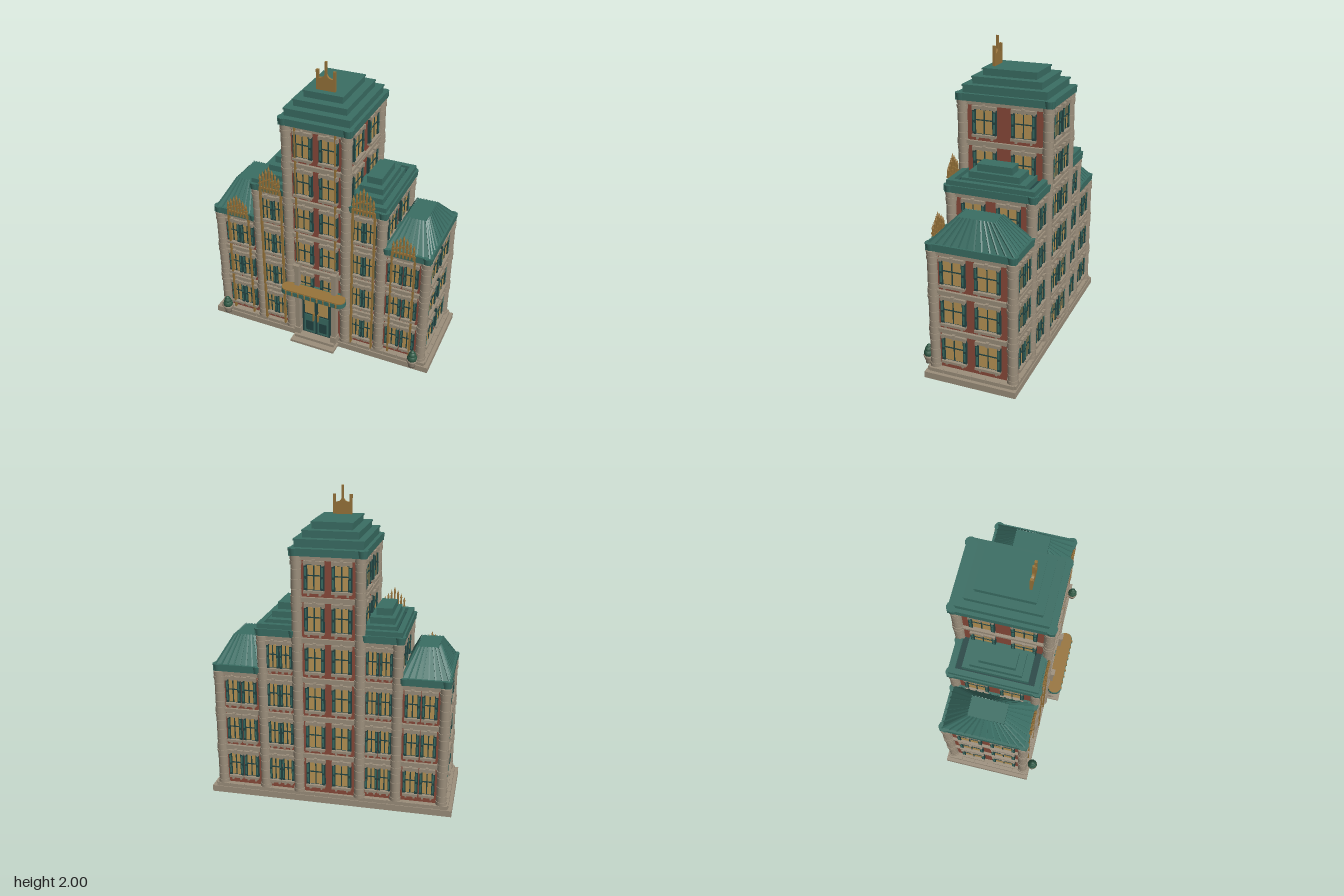
import * as THREE from 'three';

const paint = (color) => new THREE.MeshStandardMaterial({ color });
const STONE = paint(0x9c8f7c), BRICK = paint(0x8a4a3a), TEAL = paint(0x3a6e64), DARK = paint(0x234544);
const GLASS = paint(0xb99556), GOLD = paint(0x98743a), LEAF = paint(0x2f5a45);
const UNIT = new THREE.BoxGeometry(1, 1, 1);
const FLOOR = 0.26, BASE = 0.065, CZ = -0.05;

function add(parent, name, geo, mat, x = 0, y = 0, z = 0) {
  const m = new THREE.Mesh(geo, mat);
  m.name = name;
  m.position.set(x, y, z);
  parent.add(m);
  return m;
}
function box(parent, name, mat, w, h, d, x, y, z) {
  const m = add(parent, name, UNIT, mat, x, y, z);
  m.scale.set(w, h, d);
  return m;
}
// Box given by its limits
const span = (p, name, mat, x0, x1, y0, y1, z0, z1) =>
  box(p, name, mat, Math.abs(x1 - x0), y1 - y0, z1 - z0, (x0 + x1) / 2, (y0 + y1) / 2, (z0 + z1) / 2);

// Shuttered sash window facing +z, centred on its glass
function sashWindow(parent, x, y, z, turn, w, shutter) {
  const g = new THREE.Group(), h = 0.15, all = w + 2 * shutter;
  g.name = 'window';
  g.position.set(x, y, z);
  g.rotation.y = turn;
  parent.add(g);
  box(g, 'windowFrame', DARK, w + 0.012, h + 0.014, 0.012, 0, 0, 0.003);
  box(g, 'glass', GLASS, w, h, 0.012, 0, 0, 0.005);
  box(g, 'mullion', DARK, 0.007, h, 0.01, 0, 0, 0.01);
  box(g, 'crossbar', DARK, w, 0.007, 0.01, 0, 0.012, 0.01);
  for (const s of [-1, 1]) {
    box(g, 'shutter', DARK, shutter, h + 0.014, 0.02, s * (w + shutter) / 2, 0, 0.008);
    for (const v of [-0.036, 0.036])
      box(g, 'shutterPanel', TEAL, shutter * 0.5, 0.055, 0.005, s * (w + shutter) / 2, v, 0.018);
    box(g, 'sillBracket', STONE, 0.012, 0.02, 0.018, s * w * 0.45, -0.103, 0.01);
    box(g, 'lintelEnd', STONE, 0.014, 0.028, 0.03, s * all * 0.45, 0.088, 0.012);
  }
  box(g, 'sill', STONE, all, 0.016, 0.034, 0, -0.087, 0.014);
  box(g, 'lintel', STONE, all, 0.02, 0.024, 0, 0.09, 0.011);
  box(g, 'keystone', STONE, 0.018, 0.032, 0.034, 0, 0.094, 0.013);
}

// Round corner pier with drum joints, and a capital at each floor
const DRUM = new THREE.CylinderGeometry(0.033, 0.033, 0.06, 14);
const RING = new THREE.CylinderGeometry(0.037, 0.037, 0.022, 14);
function pier(parent, x, z, floors) {
  for (let f = 0; f < floors; f++) {
    const y = BASE + f * FLOOR;
    for (let i = 0; i < 4; i++) add(parent, 'pierDrum', DRUM, STONE, x, y + 0.032 + i * 0.063, z);
    box(parent, 'pierCore', STONE, 0.044, FLOOR, 0.044, x, y + FLOOR / 2, z);
    for (const v of [0.012, 0.225, 0.259]) add(parent, 'pierRing', RING, STONE, x, y + v, z);
  }
}

// Brick block with belt courses
function block(parent, name, x0, x1, z0, z1, floors) {
  const top = BASE + floors * FLOOR;
  span(parent, name + 'Wall', BRICK, x0, x1, 0.04, top, z0, z1);
  for (let f = 1; f <= floors; f++) {
    const y = BASE + f * FLOOR, lo = Math.min(x0, x1), hi = Math.max(x0, x1);
    span(parent, 'beltCourse', STONE, lo - 0.018, hi + 0.018, y - 0.004, y + 0.016, z0 - 0.018, z1 + 0.018);
    span(parent, 'beltMoulding', STONE, lo - 0.01, hi + 0.01, y - 0.018, y - 0.004, z0 - 0.01, z1 + 0.01);
  }
}

// Eaves with a round knob at each corner
const KNOB = new THREE.CylinderGeometry(0.036, 0.03, 0.045, 12);
function eaves(parent, x0, x1, z0, z1, y) {
  span(parent, 'eaves', TEAL, x0, x1, y, y + 0.045, z0, z1);
  for (const x of [x0, x1]) for (const z of [z0, z1])
    add(parent, 'eavesKnob', KNOB, TEAL, x + (x === Math.min(x0, x1) ? 0.026 : -0.026), y + 0.022, z + (z === z0 ? 0.026 : -0.026));
}

function bar(parent, name, mat, a, b, t) {
  const m = box(parent, name, mat, t, t, a.distanceTo(b), 0, 0, 0);
  m.position.copy(a).add(b).multiplyScalar(0.5);
  m.lookAt(b);
}

// Sloped roof with a flat top and fanned seams; limits are [x0, x1, z0, z1]
function mansard(parent, lo, hi, y0, y1) {
  const geo = new THREE.BoxGeometry(1, 1, 1), p = geo.attributes.position;
  for (let i = 0; i < p.count; i++) {
    const up = p.getY(i) > 0, r = up ? hi : lo;
    p.setXYZ(i, p.getX(i) < 0 ? r[0] : r[1], up ? y1 : y0, p.getZ(i) < 0 ? r[2] : r[3]);
  }
  geo.computeVertexNormals();
  add(parent, 'mansardRoof', geo, TEAL);
  const at = (r, u, v, y) => new THREE.Vector3(r[0] + (r[1] - r[0]) * u, y, r[2] + (r[3] - r[2]) * v);
  const seam = (u, v) => bar(parent, 'roofSeam', TEAL, at(lo, u, v, y0), at(hi, u, v, y1), 0.009);
  for (const e of [0, 1]) {
    for (let i = 0; i <= 7; i++) seam(i / 7, e);
    for (let i = 1; i < 11; i++) seam(e, i / 11);
  }
}

// Gilded fan of spikes, taller in the middle, on two long wall strips
const SPIKE = new THREE.ConeGeometry(0.009, 0.03, 6);
function crest(parent, cx, half, y, z, height) {
  for (let i = -3; i <= 3; i++) {
    const h = height * (1 - 0.13 * Math.abs(i)), x = cx + i * half / 3.4;
    box(parent, 'crestRod', GOLD, 0.01, h, 0.012, x, y + h / 2, z);
    add(parent, 'crestSpike', SPIKE, GOLD, x, y + h + 0.012, z);
    box(parent, 'crestCollar', GOLD, 0.016, 0.012, 0.018, x, y + h * 0.6, z);
  }
  box(parent, 'crestRail', GOLD, half * 2, 0.012, 0.014, cx, y + 0.03, z);
  for (const s of [-1, 1]) span(parent, 'giltStrip', GOLD, cx + s * half - 0.005, cx + s * half + 0.005, 0.07, y + 0.03, z - 0.02, z);
}

function planter(parent, x, z) {
  const pts = [[0, 0.045], [0.024, 0.045], [0.022, 0.055], [0.034, 0.085], [0.036, 0.1], [0.028, 0.1], [0, 0.098]];
  add(parent, 'planterPot', new THREE.LatheGeometry(pts.map((q) => new THREE.Vector2(...q)), 12), STONE, x, 0, z);
  [[0.034, 0.115], [0.026, 0.14], [0.016, 0.16]].forEach(([r, y]) =>
    add(parent, 'planterBush', new THREE.IcosahedronGeometry(r, 1), LEAF, x, y, z));
}

function entrance(parent) {
  const g = new THREE.Group();
  g.name = 'entrance';
  parent.add(g);
  span(g, 'lowerStep', STONE, -0.16, 0.16, 0.015, 0.032, 0.2, 0.35);
  span(g, 'upperStep', STONE, -0.145, 0.145, 0.032, 0.052, 0.2, 0.31);
  span(g, 'doorSurround', STONE, -0.125, 0.125, 0.05, 0.43, 0.22, 0.252);
  span(g, 'doorFrame', DARK, -0.105, 0.105, 0.06, 0.42, 0.22, 0.262);
  for (const s of [-1, 1]) {
    span(g, 'doorLeaf', TEAL, s * 0.008, s * 0.09, 0.07, 0.22, 0.22, 0.267);
    span(g, 'doorPanel', DARK, s * 0.022, s * 0.076, 0.09, 0.17, 0.22, 0.27);
    span(g, 'doorGlass', GLASS, s * 0.015, s * 0.085, 0.235, 0.405, 0.22, 0.266);
    span(g, 'doorHandle', GOLD, s * 0.013, s * 0.021, 0.19, 0.25, 0.26, 0.285);
    span(g, 'doorPilaster', STONE, s * 0.118, s * 0.148, 0.05, 0.61, 0.22, 0.283);
    span(g, 'pilasterCap', STONE, s * 0.112, s * 0.154, 0.6, 0.63, 0.22, 0.292);
    span(g, 'pilasterFoot', STONE, s * 0.112, s * 0.154, 0.05, 0.1, 0.22, 0.292);
  }
  // Canopy with rounded ends and beaded front
  const slab = (r, t) => {
    const s = new THREE.Shape();
    s.absarc(0.228 - 0.046, 0, r, -Math.PI / 2, Math.PI / 2);
    s.absarc(-0.228 + 0.046, 0, r, Math.PI / 2, Math.PI * 1.5);
    return new THREE.ExtrudeGeometry(s, { depth: t, bevelEnabled: false, curveSegments: 12 }).rotateX(-Math.PI / 2);
  };
  add(g, 'canopy', slab(0.048, 0.03), TEAL, 0, 0.425, 0.307);
  add(g, 'canopyTop', slab(0.045, 0.008), GOLD, 0, 0.455, 0.307);
  span(g, 'canopyRoot', TEAL, -0.2, 0.2, 0.425, 0.455, 0.22, 0.3);
  const bead = new THREE.CylinderGeometry(0.006, 0.006, 0.03, 8);
  for (let i = -4; i <= 4; i++) add(g, 'canopyBead', bead, GOLD, i * 0.045, 0.442, 0.354);
}

export function createModel() {
  const model = new THREE.Group();
  model.name = 'building';

  // Plinth with a course of separate blocks
  span(model, 'plinth', STONE, -0.795, 0.795, 0, 0.042, -0.35, 0.255);
  span(model, 'plinthCore', STONE, -0.755, 0.755, 0.04, BASE, -0.335, 0.235);
  for (let i = 0; i < 16; i++) for (const z of [-0.334, 0.236])
    box(model, 'plinthBlock', STONE, 0.09, 0.025, 0.02, -0.72 + i * 0.096, 0.053, z);
  for (let i = 0; i < 6; i++) for (const s of [-1, 1])
    box(model, 'plinthBlock', STONE, 0.02, 0.025, 0.09, s * 0.762, 0.053, -0.285 + i * 0.094);

  // Tower
  const tower = new THREE.Group();
  tower.name = 'tower';
  model.add(tower);
  block(tower, 'tower', -0.2, 0.2, -0.325, 0.235, 6);
  for (let f = 0; f < 6; f++) {
    const y = 0.205 + f * FLOOR;
    for (const s of [-1, 1]) {
      if (f > 0) sashWindow(tower, s * 0.085, y, 0.235, 0, 0.08, 0.022);
      sashWindow(tower, s * 0.085, y, -0.325, Math.PI, 0.08, 0.022);
      if (f > 3) for (const d of [-0.128, 0.128]) sashWindow(tower, s * 0.2, y, -0.042 + d, s * Math.PI / 2, 0.11, 0.024);
    }
  }
  for (const s of [-1, 1]) {
    pier(tower, s * 0.198, 0.235, 6);
    pier(tower, s * 0.198, -0.325, 6);
    span(tower, 'giltStrip', GOLD, s * 0.128, s * 0.137, 0.46, 1.63, 0.23, 0.262);
  }
  eaves(tower, -0.235, 0.235, -0.36, 0.268, 1.635);
  [[0.212, 0.272, 1.675, 1.73], [0.172, 0.225, 1.73, 1.775], [0.125, 0.175, 1.775, 1.82]].forEach(([w, d, y0, y1]) => {
    span(tower, 'roofStep', TEAL, -w, w, y0, y1 - 0.01, -0.045 - d, -0.045 + d);
    span(tower, 'roofStepLip', TEAL, -w - 0.005, w + 0.005, y1 - 0.01, y1, -0.05 - d, -0.04 + d);
  });

  // Crown ornament on the tower roof
  const crown = new THREE.Shape();
  crown.moveTo(-0.062, 0);
  crown.lineTo(-0.062, 0.125);
  crown.lineTo(-0.046, 0.125);
  crown.lineTo(-0.046, 0.075);
  crown.quadraticCurveTo(-0.015, 0.075, -0.007, 0.1);
  crown.lineTo(-0.007, 0.18);
  crown.lineTo(0.007, 0.18);
  crown.lineTo(0.007, 0.1);
  crown.quadraticCurveTo(0.015, 0.075, 0.046, 0.075);
  crown.lineTo(0.046, 0.125);
  crown.lineTo(0.062, 0.125);
  crown.lineTo(0.062, 0);
  add(tower, 'crownOrnament', new THREE.ExtrudeGeometry(crown, { depth: 0.016, bevelEnabled: false }), GOLD, 0, 1.82, 0.077);
  entrance(model);

  for (const s of [-1, 1]) {
    const side = new THREE.Group(), turn = s * Math.PI / 2;
    side.name = s > 0 ? 'leftWing' : 'rightWing';
    model.add(side);

    // Middle block
    block(side, 'middle', s * 0.19, s * 0.43, -0.312, 0.215, 4);
    pier(side, s * 0.43, 0.215, 4);
    pier(side, s * 0.43, -0.312, 4);
    for (let f = 0; f < 4; f++) for (const d of [-0.042, 0.042]) {
      sashWindow(side, s * (0.316 + d), 0.205 + f * FLOOR, 0.215, 0, 0.048, 0.015);
      sashWindow(side, s * (0.316 + d), 0.205 + f * FLOOR, -0.312, Math.PI, 0.048, 0.015);
    }
    for (const d of [-0.115, 0.115]) sashWindow(side, s * 0.43, 0.985, CZ + d, turn, 0.11, 0.022);
    eaves(side, s * 0.2, s * 0.465, -0.345, 0.248, 1.12);
    // Parapet around a dark gutter, with a stepped roof inside
    span(side, 'parapetFront', TEAL, s * 0.2, s * 0.455, 1.16, 1.195, 0.2, 0.235);
    span(side, 'parapetBack', TEAL, s * 0.2, s * 0.455, 1.16, 1.195, -0.335, -0.3);
    span(side, 'parapetSide', TEAL, s * 0.42, s * 0.455, 1.16, 1.195, -0.335, 0.235);
    span(side, 'gutter', DARK, s * 0.2, s * 0.42, 1.16, 1.168, -0.3, 0.2);
    span(side, 'roofStep', TEAL, s * 0.2, s * 0.405, 1.16, 1.205, -0.26, 0.16);
    span(side, 'roofStep', TEAL, s * 0.235, s * 0.39, 1.205, 1.245, -0.215, 0.115);
    span(side, 'roofStep', TEAL, s * 0.265, s * 0.365, 1.245, 1.29, -0.16, 0.07);
    crest(side, s * 0.318, 0.073, 1.125, 0.255, 0.17);

    // Outer block
    block(side, 'outer', s * 0.42, s * 0.725, -0.308, 0.205, 3);
    pier(side, s * 0.725, 0.205, 3);
    pier(side, s * 0.725, -0.308, 3);
    for (let f = 0; f < 3; f++) {
      const y = 0.205 + f * FLOOR;
      for (const d of [-0.053, 0.053]) {
        sashWindow(side, s * (0.578 + d), y, 0.205, 0, 0.058, 0.019);
        sashWindow(side, s * (0.578 + d), y, -0.308, Math.PI, 0.058, 0.019);
      }
      for (const d of [-0.112, 0.112]) sashWindow(side, s * 0.725, y, -0.04 + d, turn, 0.12, 0.022);
    }
    eaves(side, s * 0.44, s * 0.755, -0.335, 0.235, 0.86);
    const xs = (a, b) => (s > 0 ? [a, b] : [-b, -a]);
    mansard(side, [...xs(0.455, 0.742), -0.322, 0.222], [...xs(0.53, 0.66), -0.166, 0.068], 0.9, 1.06);
    crest(side, s * 0.578, 0.075, 0.87, 0.236, 0.14);
    planter(side, s * 0.692, 0.272);
  }
  return model;
}
